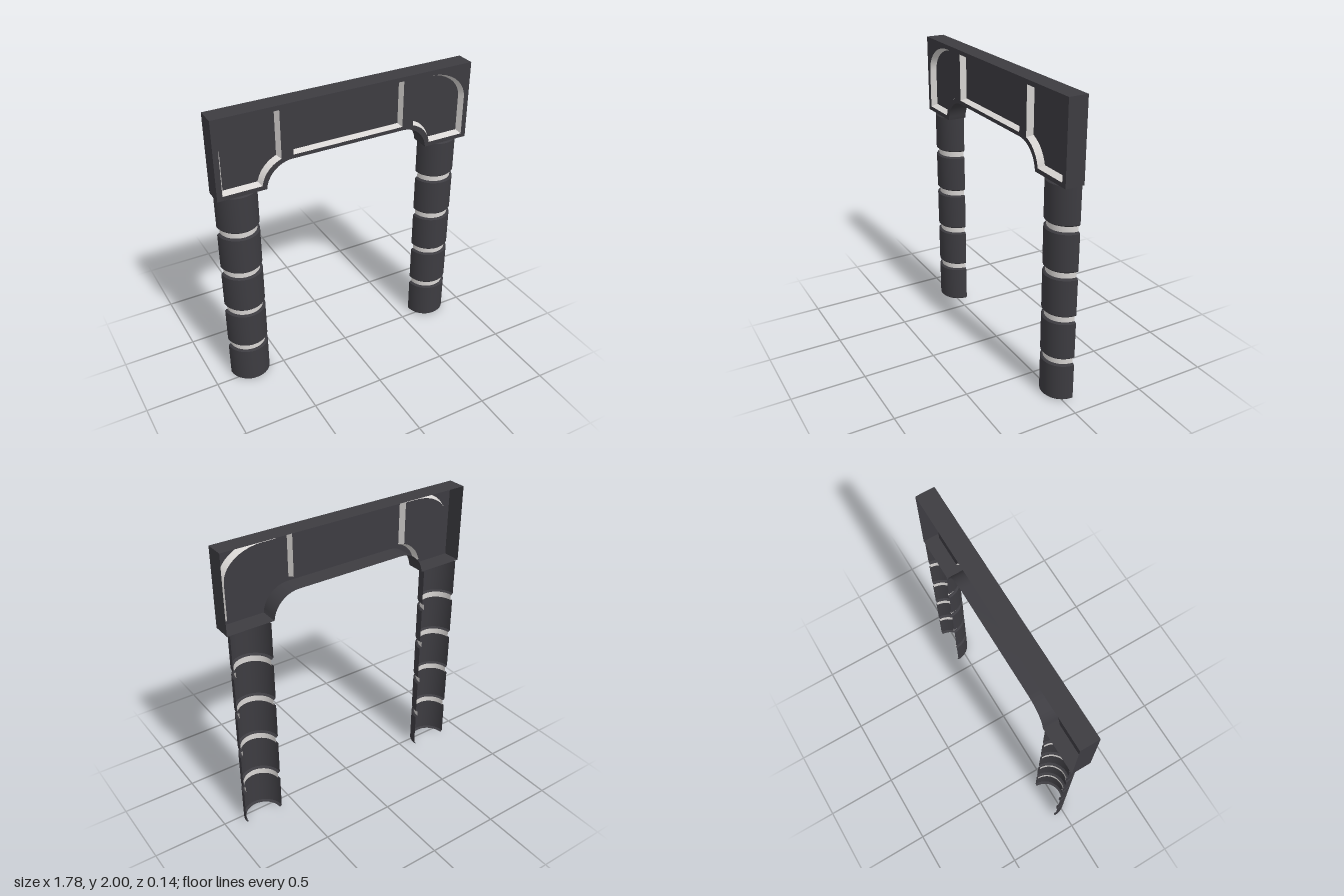
import * as THREE from 'three';
import { toCreasedNormals } from 'three/addons/utils/BufferGeometryUtils.js';

const dark = new THREE.MeshStandardMaterial({ color: 0x3d3c41, side: THREE.DoubleSide });
dark.name = 'charcoal';
const light = new THREE.MeshStandardMaterial({ color: 0xd9d6d4, side: THREE.DoubleSide });
light.name = 'pale grey';

const FRONT = 0.06, BACK = -0.068, RECESS = 0.04;
const V = (x, y) => new THREE.Vector2(x, y);

function add(parent, geometry, material, name) {
  const mesh = new THREE.Mesh(geometry, material);
  mesh.name = name;
  parent.add(mesh);
  return mesh;
}

// points along an elliptical arc
function arc(cx, cy, rx, ry, from, to, n = 10) {
  return Array.from({ length: n + 1 }, (_, i) => {
    const a = from + ((to - from) * i) / n;
    return V(cx + rx * Math.cos(a), cy + ry * Math.sin(a));
  });
}

const mirror = (pts) => pts.map((p) => V(-p.x, p.y)).reverse();

// move a counter-clockwise loop inwards by d
function inset(pts, d) {
  const n = pts.length;
  return pts.map((p, i) => {
    const a = p.clone().sub(pts[(i + n - 1) % n]).normalize();
    const b = pts[(i + 1) % n].clone().sub(p).normalize();
    const na = V(-a.y, a.x), nb = V(-b.y, b.x);
    return na.clone().add(nb).multiplyScalar(d / (1 + na.dot(nb))).add(p);
  });
}

// band of faces joining two loops at different depths
function band(a, za, b, zb) {
  const pos = [];
  a.forEach((p, i) => {
    const j = (i + 1) % a.length;
    const q = a[j], r = b[i], s = b[j];
    pos.push(p.x, p.y, za, r.x, r.y, zb, s.x, s.y, zb);
    pos.push(p.x, p.y, za, s.x, s.y, zb, q.x, q.y, za);
  });
  const g = new THREE.BufferGeometry();
  g.setAttribute('position', new THREE.Float32BufferAttribute(pos, 3));
  return toCreasedNormals(g, 0.5);
}

function createLintel() {
  const lintel = new THREE.Group();
  lintel.name = 'lintel';
  const PI = Math.PI;

  // outline with rounded opening corners, counter-clockwise
  const leftHalf = [
    ...arc(-0.39, 1.455, 0.18, 0.18, PI / 2, PI - 0.11),
    V(-0.57, 1.472), V(-0.89, 1.472), V(-0.89, 2),
  ];
  const outline = [...leftHalf, ...mirror(leftHalf)].reverse();

  // recessed panel outlines, counter-clockwise
  const corner = [
    V(-0.855, 1.5),
    ...arc(-0.41, 1.47, 0.19, 0.19, PI - 0.16, PI - 1.28),
    V(-0.465, 1.97),
    ...arc(-0.575, 1.765, 0.28, 0.205, PI / 2, PI),
  ];
  const center = [V(-0.385, 1.66), V(0.385, 1.66), V(0.385, 1.972), V(-0.385, 1.972)];
  const panels = [
    ['rightCornerPanel', corner, 0.018],
    ['leftCornerPanel', mirror(corner), 0.018],
    ['centerPanel', center, 0.014],
  ];

  // outer shell, open at the back
  const face = new THREE.Shape(outline);
  face.holes = panels.map(([, pts]) => new THREE.Path(pts));
  add(lintel, new THREE.ShapeGeometry(face), dark, 'lintelFace').position.z = FRONT;
  const ccw = THREE.ShapeUtils.isClockWise(outline) ? outline.slice().reverse() : outline;
  add(lintel, band(ccw, FRONT, ccw, BACK), dark, 'lintelSides');

  // sunken panels with pale sloping borders
  for (const [name, pts, width] of panels) {
    const inner = inset(pts, width);
    const border = band(pts.slice().reverse(), FRONT, inner.slice().reverse(), FRONT - RECESS);
    add(lintel, border, light, name + 'Border');
    add(lintel, new THREE.ShapeGeometry(new THREE.Shape(inner)), dark, name)
      .position.z = FRONT - RECESS;
  }
  return lintel;
}

// half-round open shell from a profile
function halfLathe(profile) {
  const g = new THREE.LatheGeometry(profile, 20, -Math.PI / 2, Math.PI);
  return toCreasedNormals(g, 0.5);
}

function createColumn(name, x) {
  const column = new THREE.Group();
  column.name = name;
  const R = 0.139, r = 0.122, h = 0.262, pitch = 0.3025, b = 0.009;
  const drum = halfLathe([
    V(r, 0), V(R - b, 0), V(R, b), V(R, h - b), V(R - b, h), V(r, h),
  ]);
  const ring = halfLathe([V(r, h), V(r, pitch)]);
  for (let i = 0; i < 5; i++) {
    add(column, drum, dark, 'drum').position.y = i * pitch;
    if (i < 4) add(column, ring, light, 'ring').position.y = i * pitch;
  }
  column.position.set(x, 0, BACK);
  return column;
}

export function createModel() {
  const model = new THREE.Group();
  model.name = 'archway';
  model.add(createLintel());
  model.add(createColumn('leftColumn', 0.731), createColumn('rightColumn', -0.731));
  return model;
}
